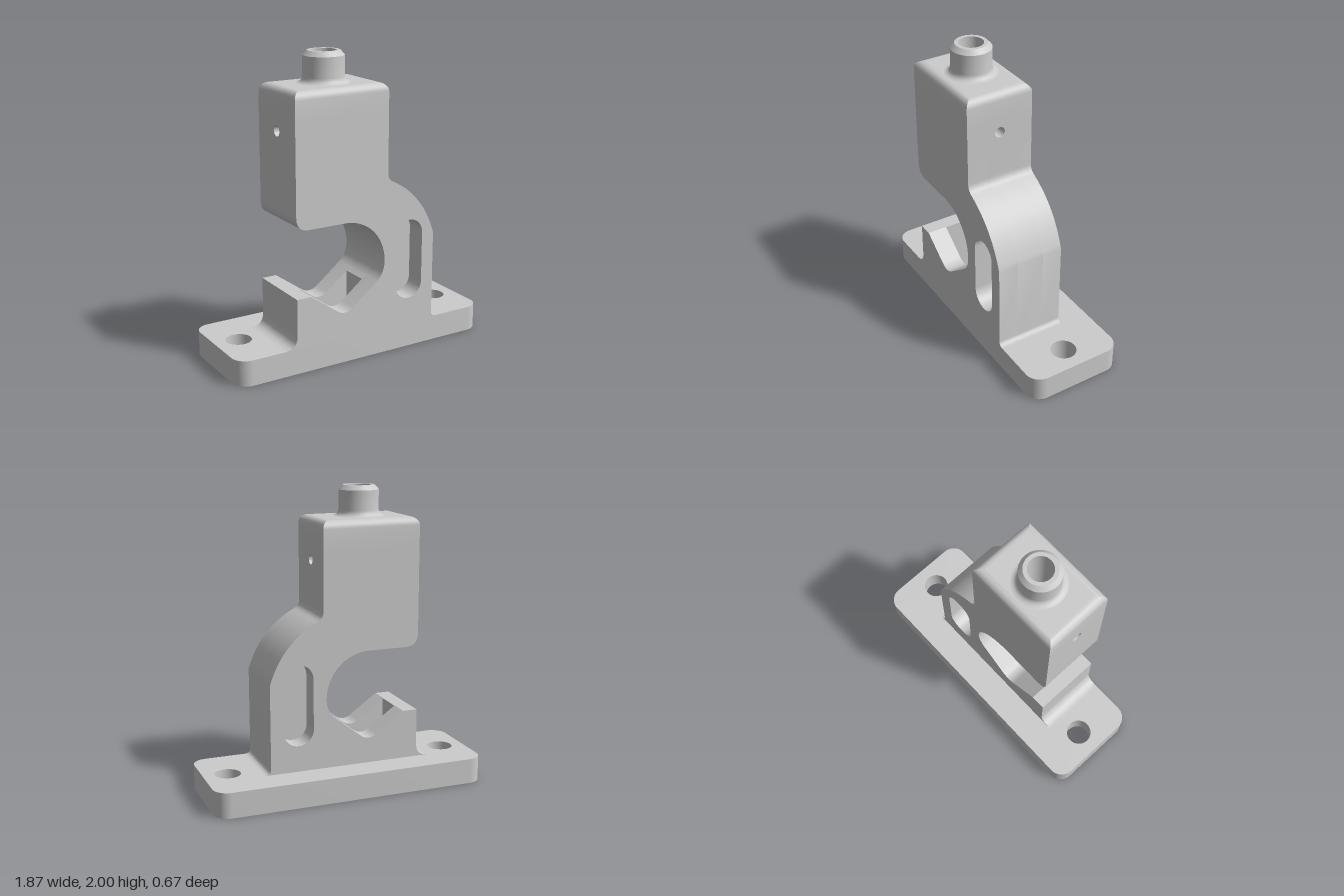
import * as THREE from 'three';
import { toCreasedNormals } from 'three/addons/utils/BufferGeometryUtils.js';

const BASE = 0.17, HALL_TOP = 1.6, WALL_Y = 1.3;      // plate top, cavity ceiling, start of drilled walls
const BACK = -0.133, FRONT = 0.333, CX = -0.185, CZ = 0.1;
const X0 = -0.52, X1 = 0.15, SLOT0 = -0.415, SLOT1 = 0.045; // upper block and cavity extents
const SZ0 = 0.005, SZ1 = 0.195;                       // cavity depth range

const poly = (pts) => new THREE.Shape(pts.map(([x, y]) => new THREE.Vector2(x, y)));
const circle = (x, y, r) => new THREE.Path().absarc(x, y, r, 0, Math.PI * 2, true);
const rect = (a, b, c, d) => [[a, b], [c, b], [c, d], [a, d]];

function roundedRect(path, x0, y0, x1, y1, r) {
  path.absarc(x1 - r, y0 + r, r, -Math.PI / 2, 0);
  path.absarc(x1 - r, y1 - r, r, 0, Math.PI / 2);
  path.absarc(x0 + r, y1 - r, r, Math.PI / 2, Math.PI);
  path.absarc(x0 + r, y0 + r, r, Math.PI, Math.PI * 1.5);
  path.closePath();
  return path;
}

const extrude = (shape, depth) => new THREE.ExtrudeGeometry(shape, { depth, bevelEnabled: false, curveSegments: 16 });

// Outer right edge of the frame, from the plate up to the block
function outerEdge(s) {
  s.lineTo(0.555, BASE);
  s.quadraticCurveTo(0.515, BASE, 0.515, 0.21);
  s.lineTo(0.515, 0.77);
  s.quadraticCurveTo(0.43, 1.04, 0.19, 1.16);
  s.quadraticCurveTo(X1, 1.18, X1, 1.22);
}

// Inner edge of the C-shaped throat, down to the V jaw
function throat(s, startAngle) {
  s.absarc(-0.17, 0.64, 0.3, startAngle, 0, true);
  s.quadraticCurveTo(0.13, 0.56, 0.075, 0.51);
}

function footFillet(s) {
  s.lineTo(X0, 0.5);
  s.lineTo(X0, 0.26);
  s.quadraticCurveTo(X0, BASE, -0.61, BASE);
}

function blockCorner(s) {
  s.lineTo(X0, 1.03);
  s.quadraticCurveTo(X0, 0.94, -0.43, 0.94);
}

// Complete side profile with the oblong recess
function cheekShape() {
  const s = new THREE.Shape().moveTo(-0.61, BASE);
  outerEdge(s);
  s.lineTo(X1, HALL_TOP);
  s.lineTo(X0, HALL_TOP);
  blockCorner(s);
  throat(s, Math.PI / 2);
  s.lineTo(-0.11, 0.365);
  s.quadraticCurveTo(-0.17, 0.32, -0.23, 0.365);
  s.lineTo(-0.42, 0.5);
  footFillet(s);
  s.holes.push(roundedRect(new THREE.Path(), 0.22, 0.345, 0.425, 0.885, 0.1));
  return s;
}

// Core pieces left standing around the cavity
function coreShapes() {
  const right = new THREE.Shape().moveTo(SLOT1, BASE);
  outerEdge(right);
  right.lineTo(X1, WALL_Y);
  right.lineTo(SLOT1, WALL_Y);
  throat(right, Math.acos((SLOT1 + 0.17) / 0.3));
  right.lineTo(SLOT1, 0.487);
  right.closePath();

  const foot = new THREE.Shape().moveTo(-0.61, BASE);
  foot.lineTo(SLOT0, BASE);
  foot.lineTo(SLOT0, 0.5);
  footFillet(foot);

  const wall = new THREE.Shape().moveTo(X0, WALL_Y);
  blockCorner(wall);
  wall.lineTo(SLOT0, 0.94);
  wall.lineTo(SLOT0, WALL_Y);
  wall.closePath();
  return { throatCore: right, jawCore: foot, blockCore: wall };
}

// Sides of the block top: straight band, then a mitred rounding
function capSides() {
  const r = 0.055, steps = 6, rings = [[HALL_TOP, 0]], pos = [];
  for (let i = 0; i <= steps; i++) {
    const a = (i / steps) * Math.PI / 2;
    rings.push([1.8 - r + r * Math.sin(a), r * (1 - Math.cos(a))]);
  }
  const corners = rings.map(([y, d]) => [
    [X0 + d, y, FRONT - d], [X1 - d, y, FRONT - d], [X1 - d, y, BACK + d], [X0 + d, y, BACK + d]]);
  for (let i = 0; i < rings.length - 1; i++) {
    for (let k = 0; k < 4; k++) {
      const n = (k + 1) % 4;
      const [a, b, c, d] = [corners[i][k], corners[i][n], corners[i + 1][n], corners[i + 1][k]];
      pos.push(...a, ...b, ...c, ...a, ...c, ...d);
    }
  }
  const g = new THREE.BufferGeometry();
  g.setAttribute('position', new THREE.Float32BufferAttribute(pos, 3));
  g.computeVertexNormals();
  return g;
}

// Flat rectangular face with the bore through it
function boredFace(inset, y, up) {
  const s = poly(rect(X0 + inset, -FRONT + inset, X1 - inset, -BACK - inset));
  s.holes.push(circle(CX, -CZ, 0.08));
  const g = new THREE.ShapeGeometry(s, 24);
  if (!up) g.scale(1, -1, 1);
  g.rotateX(up ? -Math.PI / 2 : Math.PI / 2);
  if (!up) {
    // scaling mirrored the winding, so swap it back
    const ix = g.index.array;
    for (let i = 0; i < ix.length; i += 3) [ix[i], ix[i + 1]] = [ix[i + 1], ix[i]];
    g.computeVertexNormals();
    // bring the mirrored face back over the block
    g.computeBoundingBox();
    g.translate(0, 0, (FRONT + BACK) / 2 - (g.boundingBox.min.z + g.boundingBox.max.z) / 2);
  }
  return g.translate(0, y, 0);
}

export function createModel() {
  const group = new THREE.Group();
  const material = new THREE.MeshStandardMaterial({ color: 0xcccccc, side: THREE.DoubleSide });
  const add = (name, geometry, x = 0, y = 0, z = 0) => {
    const mesh = new THREE.Mesh(toCreasedNormals(geometry, 0.5), material);
    mesh.name = name;
    mesh.position.set(x, y, z);
    group.add(mesh);
  };

  // Mounting plate with two bolt holes and the cavity slot
  const plate = roundedRect(new THREE.Shape(), -0.933, -FRONT, 0.933, FRONT, 0.1);
  for (const x of [-0.768, 0.768]) plate.holes.push(circle(x, 0, 0.085));
  plate.holes.push(poly(rect(SLOT0, -SZ1, SLOT1, -SZ0)));
  add('basePlate', extrude(plate, BASE).rotateX(-Math.PI / 2));

  // Front and back cheeks
  add('frontCheek', extrude(cheekShape(), FRONT - SZ1), 0, 0, SZ1);
  add('backCheek', extrude(cheekShape(), SZ0 - BACK), 0, 0, BACK);

  // Core between the cheeks
  for (const [name, shape] of Object.entries(coreShapes())) {
    add(name, extrude(shape, SZ1 - SZ0), 0, 0, SZ0);
  }

  // End walls of the block, cross-drilled for a pin
  for (const [name, x, w] of [['rightPinWall', X0, SLOT0 - X0], ['leftPinWall', SLOT1, X1 - SLOT1]]) {
    const s = poly(rect(-SZ1, WALL_Y, -SZ0, HALL_TOP));
    s.holes.push(circle(-CZ, 1.527, 0.035));
    add(name, extrude(s, w).rotateY(Math.PI / 2), x);
  }

  // Rounded block top
  add('blockTopSides', capSides());
  add('blockTopFace', boredFace(0.055, 1.8, true));
  add('cavityCeiling', boredFace(0, HALL_TOP, false));

  // Bored neck with a flared foot and chamfered rim
  const profile = [];
  for (let i = 0; i <= 5; i++) {
    const a = (i / 5) * Math.PI / 2;
    profile.push(new THREE.Vector2(0.172 - 0.04 * Math.sin(a), 1.84 - 0.04 * Math.cos(a)));
  }
  for (const [r, y] of [[0.132, 1.97], [0.105, 2], [0.08, 2], [0.08, HALL_TOP]]) profile.push(new THREE.Vector2(r, y));
  add('neck', new THREE.LatheGeometry(profile, 48), CX, 0, CZ);

  return group;
}
